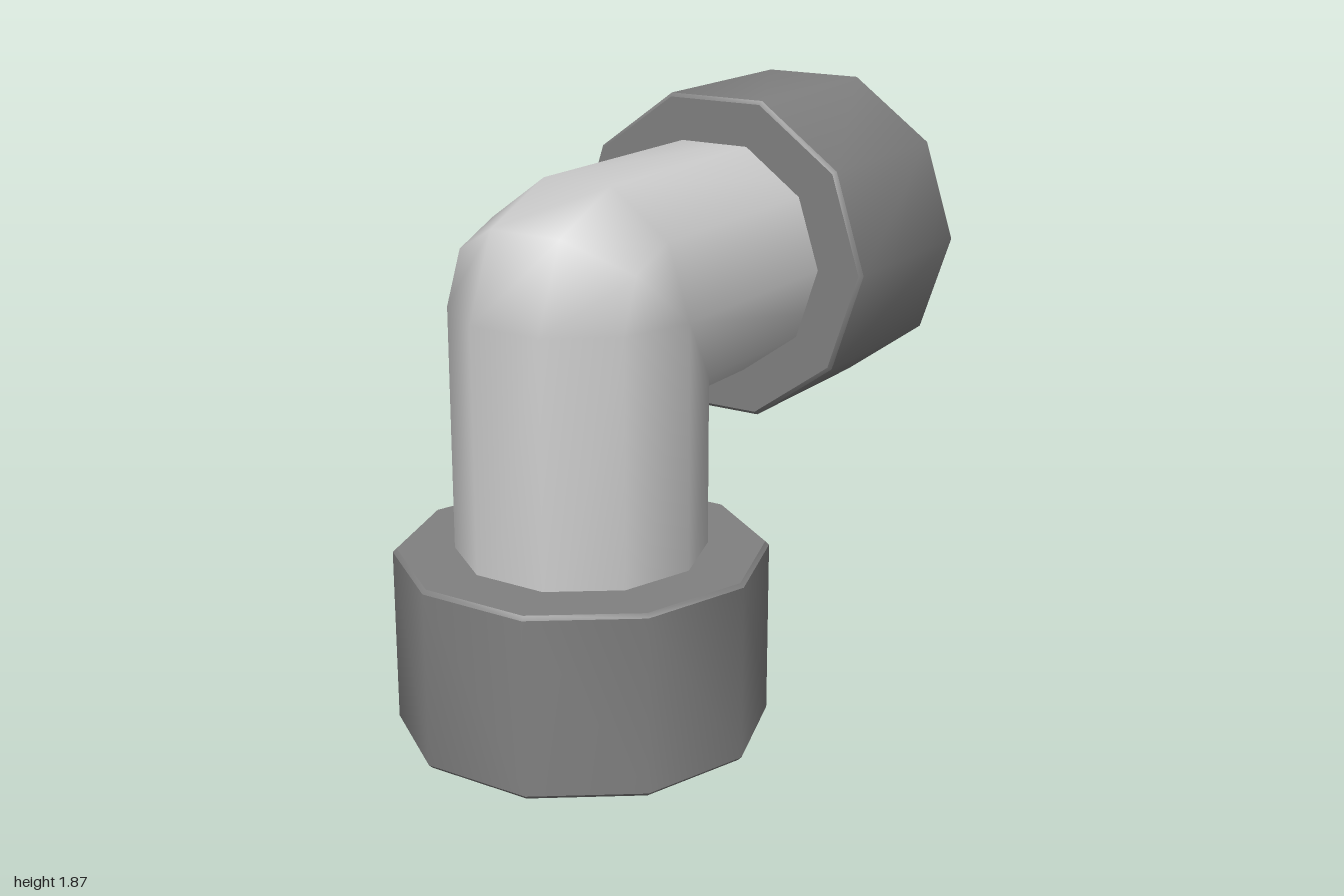
import * as THREE from 'three';
import { mergeVertices, toCreasedNormals } from 'three/addons/utils/BufferGeometryUtils.js';

const SIDES = 10;
const PIPE_R = 0.393;
const CY = 1.35, CZ = 0.446; // where the two pipe axes meet
const LOW_END = 0.28, BACK_END = -0.73; // pipe ends, hidden inside the collars

const pipeMaterial = new THREE.MeshStandardMaterial({ color: 0xcccccc });
const collarMaterial = new THREE.MeshStandardMaterial({ color: 0x808080 });

// Elbow skin: straight ring, three bend rings, straight ring.
// The outer half turns about the corner, the inner half is mitred.
function elbowGeometry() {
  const rings = [
    (d) => [LOW_END, CZ + d],
    ...[0, Math.PI / 4, Math.PI / 2].map((t) => (d) =>
      d > 1e-6 ? [CY + d * Math.sin(t), CZ + d * Math.cos(t)] : [CY + d, CZ + d]),
    (d) => [CY + d, BACK_END],
  ];
  const positions = [], index = [];
  rings.forEach((ring, r) => {
    for (let i = 0; i < SIDES; i++) {
      const a = (i / SIDES) * Math.PI * 2;
      const [y, z] = ring(PIPE_R * Math.sin(a));
      positions.push(PIPE_R * Math.cos(a), y, z);
      if (r === rings.length - 1) continue;
      const p = r * SIDES + i, q = r * SIDES + ((i + 1) % SIDES);
      index.push(p, p + SIDES, q, q, p + SIDES, q + SIDES);
    }
  });
  const geometry = new THREE.BufferGeometry();
  geometry.setAttribute('position', new THREE.Float32BufferAttribute(positions, 3));
  geometry.setIndex(index);
  const merged = mergeVertices(geometry, 1e-4);
  merged.computeVertexNormals();
  return merged;
}

// Bevelled ten-sided collar with a socket, opening at its local y = 0
function collarGeometry(radius, height, socketRadius, socketDepth) {
  const b = 0.012;
  const profile = [
    [socketRadius, socketDepth + 0.01],
    [socketRadius, 0],
    [radius - b, 0],
    [radius, b],
    [radius, height - b],
    [radius - b, height],
    [PIPE_R - 0.03, height],
  ].map(([x, y]) => new THREE.Vector2(x, y));
  return toCreasedNormals(new THREE.LatheGeometry(profile, SIDES, Math.PI / 2), 0.7);
}

export function createModel() {
  const model = new THREE.Group();
  model.name = 'pipeElbow';
  const add = (name, geometry, material, y, z, turn = 0) => {
    const mesh = new THREE.Mesh(geometry, material);
    mesh.name = name;
    mesh.position.set(0, y, z);
    mesh.rotation.x = turn;
    model.add(mesh);
  };

  // Bent pipe and the discs closing its ends
  add('elbowPipe', elbowGeometry(), pipeMaterial, 0, 0);
  const disc = new THREE.CircleGeometry(PIPE_R, SIDES);
  add('lowerPipeEnd', disc, pipeMaterial, LOW_END, CZ, Math.PI / 2);
  add('backPipeEnd', disc, pipeMaterial, CY, BACK_END, Math.PI);

  // Socket collars
  add('lowerCollar', collarGeometry(0.585, 0.58, 0.37, LOW_END), collarMaterial, 0, CZ);
  add('backCollar', collarGeometry(0.551, 0.675, 0.345, 1 + BACK_END), collarMaterial, CY, -1, Math.PI / 2);
  return model;
}
